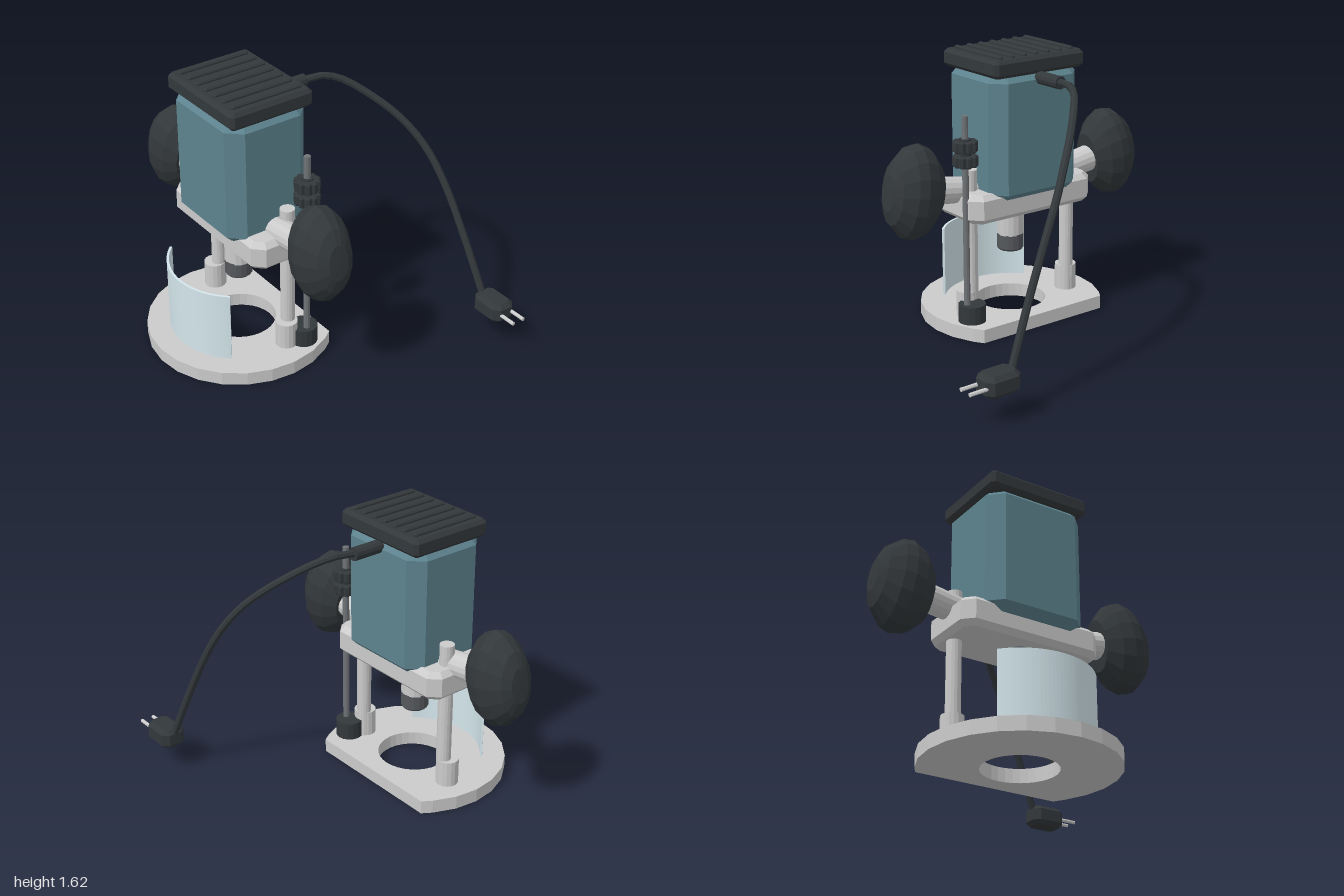
import * as THREE from 'three';

const mat = (color) => new THREE.MeshStandardMaterial({ color, flatShading: true });
const CX = -0.13; // centre line of the machine
const BZ = 0.33; // centre of the base and spindle

export function createModel() {
  const group = new THREE.Group();
  const metal = mat(0xcccccc), black = mat(0x33383b), teal = mat(0x5d838e);
  const steel = mat(0x707376), dark = mat(0x55585c), glass = mat(0xd3e6ec);

  const add = (name, geo, material, x = 0, y = 0, z = 0) => {
    const mesh = new THREE.Mesh(geo, material);
    mesh.name = name;
    mesh.position.set(x, y, z);
    group.add(mesh);
    return mesh;
  };
  // Upright cylinder from y0 to y1
  const rod = (name, material, r, x, z, y0, y1, sides = 16) =>
    add(name, new THREE.CylinderGeometry(r, r, y1 - y0, sides), material, x, (y0 + y1) / 2, z);
  // Plan outline (x, -z) pushed upwards
  const slab = (shape, h, bevel = 0) => {
    const geo = new THREE.ExtrudeGeometry(shape, {
      depth: h - 2 * bevel, bevelEnabled: bevel > 0, bevelSize: bevel,
      bevelThickness: bevel, bevelSegments: 1, curveSegments: 16,
    });
    return geo.rotateX(-Math.PI / 2).translate(0, bevel, 0);
  };
  // Box with cut vertical corners and bevelled top and bottom, standing on y = 0
  const cutBox = (w, h, d, corner, bevel) => {
    const a = w / 2 - bevel, b = d / 2 - bevel, c = Math.max(corner - 0.586 * bevel, 0.004);
    const pts = [[a, -b + c], [a, b - c], [a - c, b], [-a + c, b],
      [-a, b - c], [-a, -b + c], [-a + c, -b], [a - c, -b]];
    return slab(new THREE.Shape(pts.map((p) => new THREE.Vector2(...p))), h, bevel);
  };

  // Round base plate, cut straight at the back, with a central opening
  const R = 0.54, back = BZ - 0.005;
  const cut = Math.acos(back / R);
  const angles = [Math.PI / 2 + cut];
  for (let i = 0; i < 24; i++) {
    const a = Math.PI / 2 + (i * Math.PI) / 12;
    if (a > Math.PI / 2 + cut && a < Math.PI * 2.5 - cut) angles.push(a);
  }
  angles.push(Math.PI * 2.5 - cut);
  const plate = new THREE.Shape(
    angles.map((a) => new THREE.Vector2(R * Math.cos(a), R * Math.sin(a))));
  plate.holes.push(new THREE.Path().absarc(0, 0, 0.21, 0, Math.PI * 2, true));
  add('base', slab(plate, 0.08), metal, CX, 0, BZ);

  // Curved chip shield
  const shield = new THREE.Shape();
  const mid = -Math.PI / 2, half = 0.86;
  shield.absarc(0, 0, 0.407, mid - half, mid + half, false);
  shield.absarc(0, 0, 0.393, mid + half, mid - half, true);
  add('chipShield', slab(shield, 0.42), glass, CX, 0.08, BZ);

  // Plunge carriage, motor housing and cap
  add('carriage', cutBox(0.865, 0.17, 0.42, 0.06, 0.03), metal, CX, 0.67, 0.285);
  add('motorHousing', cutBox(0.615, 0.73, 0.51, 0.08, 0.045), teal, CX, 0.78, 0.295);
  add('topCap', cutBox(0.625, 0.102, 0.52, 0.02, 0.02), black, CX, 1.497, 0.293);
  for (let i = -3; i <= 3; i++) {
    add('capRib', cutBox(0.03, 0.035, 0.44, 0.008, 0.008), black, CX + i * 0.082, 1.58, 0.293);
  }

  // Spindle and collet
  rod('spindleNeck', dark, 0.06, CX, BZ, 0.6, 0.7);
  rod('spindle', metal, 0.08, CX, BZ, 0.485, 0.63);
  const nut = [[0.03, 0.06], [0, 0.06], [0.03, 0.06], [0.03, 0], [0.07, 0], [0.08, 0.012], [0.08, 0.1]];
  add('colletNut', new THREE.LatheGeometry(
    nut.slice(1).map((p) => new THREE.Vector2(...p)), 16), dark, CX, 0.39, BZ);

  // Elliptical grip profile along its axis: [radius, distance]
  const gripProfile = [[0, -0.15], [0.095, -0.15], [0.15, -0.075], [0.168, 0],
    [0.158, 0.06], [0.112, 0.135], [0.062, 0.165], [0, 0.168]];
  for (const s of [-1, 1]) {
    const side = s > 0 ? 'left' : 'right';
    // Guide columns and their sockets
    rod(side + 'Column', metal, 0.042, CX + s * 0.352, 0.24, 0.08, 0.96);
    rod(side + 'ColumnSocket', metal, 0.064, CX + s * 0.366, 0.26, 0.08, 0.235);

    // Side handle, tilted up outwards
    const handle = new THREE.Group();
    handle.name = side + 'Handle';
    handle.position.set(CX + s * 0.7, 0.88, 0.285);
    handle.rotation.z = s * 0.14;
    const stub = new THREE.Mesh(
      new THREE.CylinderGeometry(0.08, 0.07, 0.38, 16).rotateZ(-s * Math.PI / 2), metal);
    stub.name = 'handleStub';
    stub.position.x = -s * 0.31;
    const grip = new THREE.Mesh(new THREE.LatheGeometry(
      gripProfile.map((p) => new THREE.Vector2(...p)), 16)
      .rotateZ(-s * Math.PI / 2).scale(1, 1.64, 1), black);
    grip.name = 'handleGrip';
    handle.add(stub, grip);
    group.add(handle);
  }

  // Depth stop rod with foot and two knurled nuts
  rod('depthRod', steel, 0.019, 0.302, 0.167, 0.08, 1.295, 10);
  rod('depthStopFoot', black, 0.08, 0.27, 0.165, 0.08, 0.185);
  const knurl = [];
  for (let i = 0; i < 40; i++) {
    const r = i % 4 < 2 ? 0.066 : 0.055, a = (i * Math.PI) / 20;
    knurl.push(new THREE.Vector2(r * Math.cos(a), r * Math.sin(a)));
  }
  for (const y of [1.008, 1.093]) {
    add('depthNut', slab(new THREE.Shape(knurl), 0.064, 0.006), black, 0.302, y, 0.167);
  }
  rod('depthNutCollar', black, 0.035, 0.302, 0.167, 1.0, 1.165, 12);

  // Power cord with strain relief and plug
  const relief = rod('strainRelief', black, 0.037, CX, -0.04, 1.38, 1.565, 12);
  relief.rotation.x = Math.PI / 2;
  const path = [[-0.13, 1.473, -0.1], [-0.107, 1.48, -0.227], [-0.08, 1.465, -0.3],
    [-0.03, 1.428, -0.37], [0.115, 1.3, -0.516], [0.22, 1.19, -0.6], [0.32, 1.05, -0.666],
    [0.425, 0.87, -0.71], [0.57, 0.57, -0.752], [0.72, 0.22, -0.795]];
  const curve = new THREE.CatmullRomCurve3(path.map((p) => new THREE.Vector3(...p)));
  add('powerCord', new THREE.TubeGeometry(curve, 28, 0.021, 8), black);
  add('plug', cutBox(0.215, 0.12, 0.15, 0.035, 0.025), black, 0.797, 0.15, -0.8);
  for (const z of [-0.84, -0.765]) {
    add('plugPin', new THREE.CylinderGeometry(0.011, 0.011, 0.12, 8).rotateZ(Math.PI / 2),
      metal, 0.94, 0.21, z);
  }
  return group;
}
